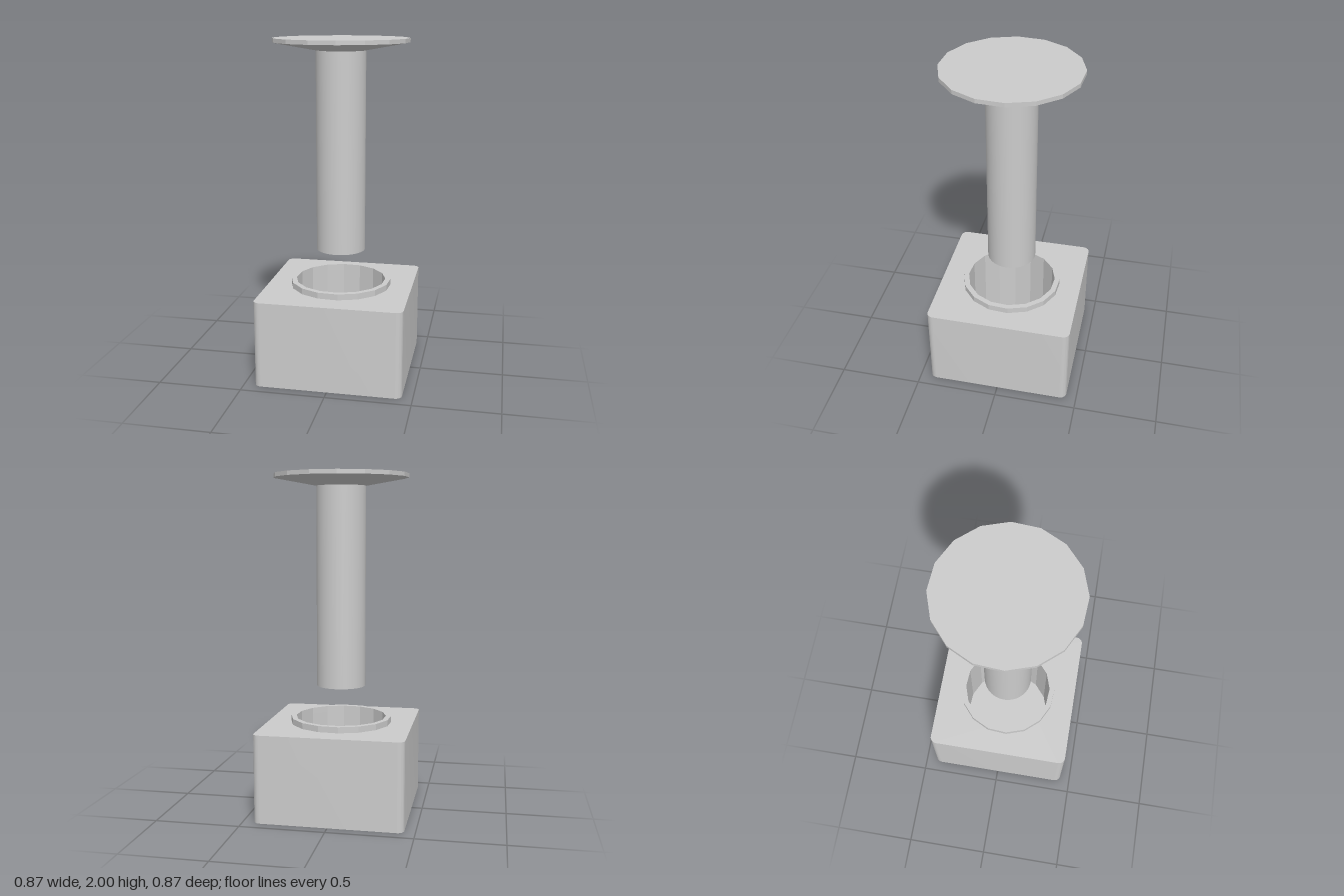
import * as THREE from 'three';
import { toCreasedNormals } from 'three/addons/utils/BufferGeometryUtils.js';

const SIDES = 16, TURN = 0.126; // facets and twist shared by the disc and the socket
const WELL = 0.272, FLOOR = 0.06, BLOCK_TOP = 0.52;

const ringPoints = (r) => Array.from({ length: SIDES }, (_, i) => {
  const a = TURN + (i / SIDES) * Math.PI * 2;
  return new THREE.Vector2(r * Math.sin(a), -r * Math.cos(a));
});

// Rounded square outline
function roundedSquare(h, r) {
  const s = new THREE.Shape(), c = h - r;
  [[c, c], [-c, c], [-c, -c], [c, -c]].forEach(([x, y], i) =>
    s.absarc(x, y, r, i * Math.PI / 2, (i + 1) * Math.PI / 2, false));
  s.closePath();
  return s;
}

// Upright extrusion between two heights
function extrudeUp(shape, y0, y1) {
  const g = new THREE.ExtrudeGeometry(shape, { depth: y1 - y0, bevelEnabled: false, curveSegments: 6 });
  g.rotateX(-Math.PI / 2).translate(0, y0, 0);
  return toCreasedNormals(g, 0.33);
}

export function createModel() {
  const group = new THREE.Group();
  const smooth = new THREE.MeshStandardMaterial({ color: 0xcccccc });
  const faceted = new THREE.MeshStandardMaterial({ color: 0xcccccc, flatShading: true });
  const add = (name, geometry, material) => {
    const mesh = new THREE.Mesh(geometry, material);
    mesh.name = name;
    group.add(mesh);
  };

  // Base block with a round well
  const block = roundedSquare(0.436, 0.04);
  block.holes.push(new THREE.Path(ringPoints(WELL)));
  add('baseBlock', extrudeUp(block, 0, BLOCK_TOP), smooth);
  add('wellFloor', extrudeUp(new THREE.Shape(ringPoints(WELL)), 0, FLOOR), smooth);

  // Raised collar around the well
  const collar = new THREE.Shape(ringPoints(0.304));
  collar.holes.push(new THREE.Path(ringPoints(WELL)));
  add('collar', extrudeUp(collar, BLOCK_TOP, 0.556), smooth);

  // Plunger shaft, floating above the well
  const shaft = new THREE.CylinderGeometry(0.146, 0.146, 1.185, 32);
  shaft.translate(0, 0.745 + 1.185 / 2, 0);
  add('shaft', shaft, smooth);

  // Plunger head: thin rim over a shallow cone
  const profile = [[0, 1.93], [0.146, 1.93], [0.398, 1.976], [0.398, 2], [0, 2]]
    .map(([r, y]) => new THREE.Vector2(r, y));
  add('plungerHead', new THREE.LatheGeometry(profile, SIDES, TURN), faceted);

  return group;
}
